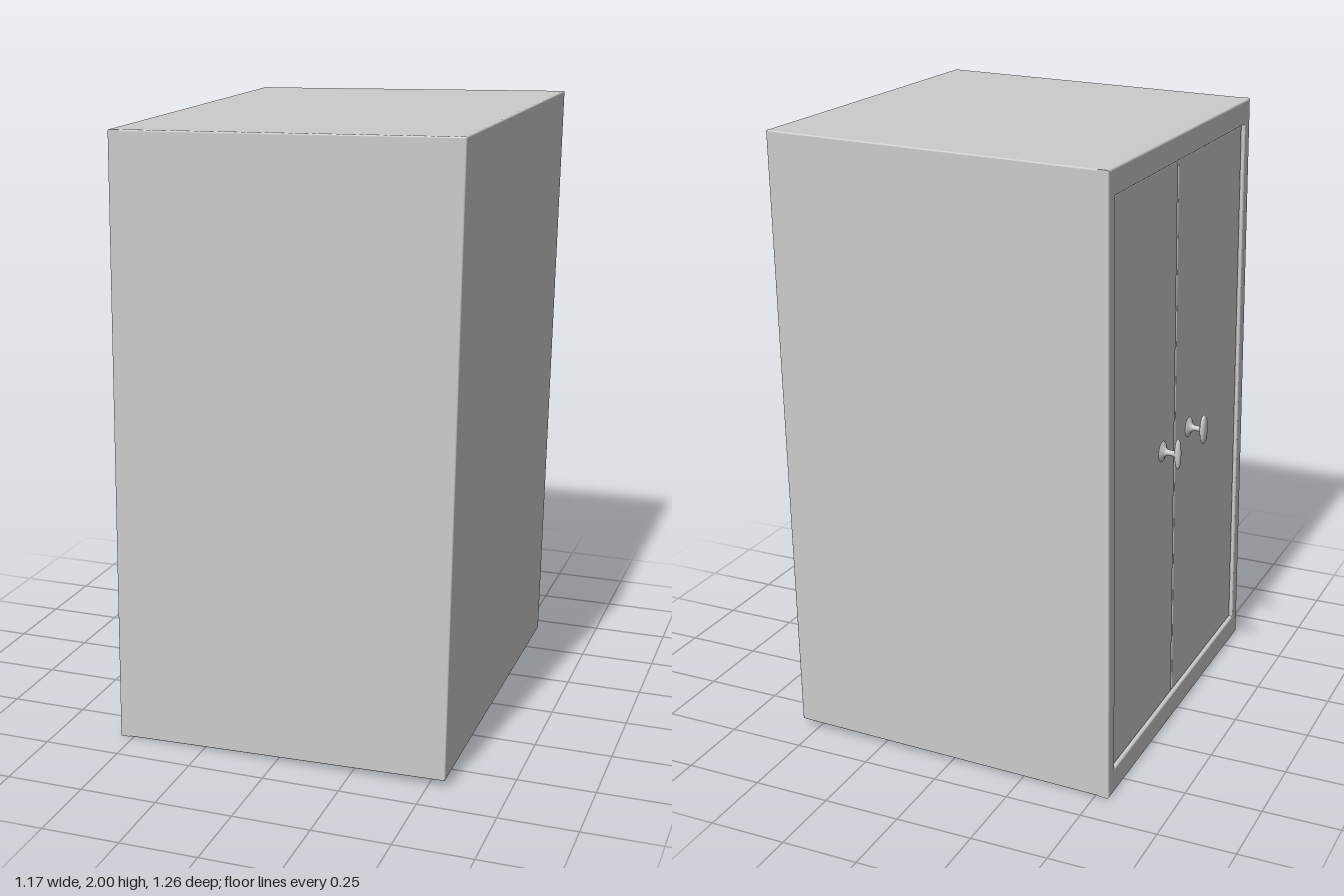
import * as THREE from 'three';
import { RoundedBoxGeometry } from 'three/addons/geometries/RoundedBoxGeometry.js';

// The cabinet leans: built upright, then each part is sheared by this matrix.
const LEAN = new THREE.Matrix4().set(
  1, 0.0153, 0, 0.005,
  0.0227, 1, 0, 0.0125,
  0, 0, 1, 0,
  0, 0, 0, 1
);
const H = 1.975, W = 1.1, D = 1.26;

export function createModel() {
  const group = new THREE.Group();
  const grey = new THREE.MeshStandardMaterial({ color: 0xcccccc, side: THREE.DoubleSide });

  function add(name, geometry) {
    geometry.applyMatrix4(LEAN);
    const mesh = new THREE.Mesh(geometry, grey);
    mesh.name = name;
    group.add(mesh);
  }

  function box(name, x0, x1, y0, y1, z0, z1, r) {
    const g = new RoundedBoxGeometry(x1 - x0, y1 - y0, z1 - z0, 2, r);
    add(name, g.translate((x0 + x1) / 2, (y0 + y1) / 2, (z0 + z1) / 2));
  }

  // Carcass
  box('body', -W / 2 + 0.025, W / 2, 0, H, -D / 2, D / 2, 0.005);

  // Frame around the door opening, on the -x side
  const x0 = -W / 2;
  const rect = (shape, a, b, c, d) =>
    shape.moveTo(a, c).lineTo(b, c).lineTo(b, d).lineTo(a, d).closePath();
  const bevel = 0.006;
  const outline = rect(new THREE.Shape(), -D / 2 + bevel, D / 2 - bevel, bevel, H - bevel);
  outline.holes.push(rect(new THREE.Path(), -0.585, 0.585, 0.075, H - 0.075));
  const frame = new THREE.ExtrudeGeometry(outline, {
    depth: 0.025, bevelEnabled: true, bevelSize: bevel, bevelThickness: bevel, bevelSegments: 3
  });
  frame.rotateY(-Math.PI / 2).translate(x0 + 0.025 + bevel, 0, 0);
  add('doorFrame', frame);

  // Two unequal doors with a narrow gap
  for (const [name, z0, z1] of [['backDoor', -0.575, -0.045], ['frontDoor', -0.039, 0.575]])
    box(name, x0 + 0.01, x0 + 0.04, 0.083, H - 0.083, z0, z1, 0.004);

  // Knobs: flared base, thin stem and oval head
  const stem = [[0.034, 0], [0.032, 0.004], [0.018, 0.009], [0.01, 0.018], [0.009, 0.035], [0.013, 0.046]];
  const head = [[0, 0.042], [0.03, 0.044], [0.046, 0.048], [0.051, 0.053], [0.045, 0.059], [0.025, 0.062], [0, 0.063]];
  const lathe = (pts) => new THREE.LatheGeometry(pts.map(([r, y]) => new THREE.Vector2(r, y)), 24);
  for (const [name, z, squash] of [['backKnob', -0.155, 0.25], ['frontKnob', 0.09, 0.5]]) {
    const place = (g) => g.rotateZ(Math.PI / 2).translate(x0 + 0.011, 0.985, z);
    add(name + 'Stem', place(lathe(stem)));
    add(name + 'Head', place(lathe(head).scale(1, 1, squash)));
  }
  return group;
}
